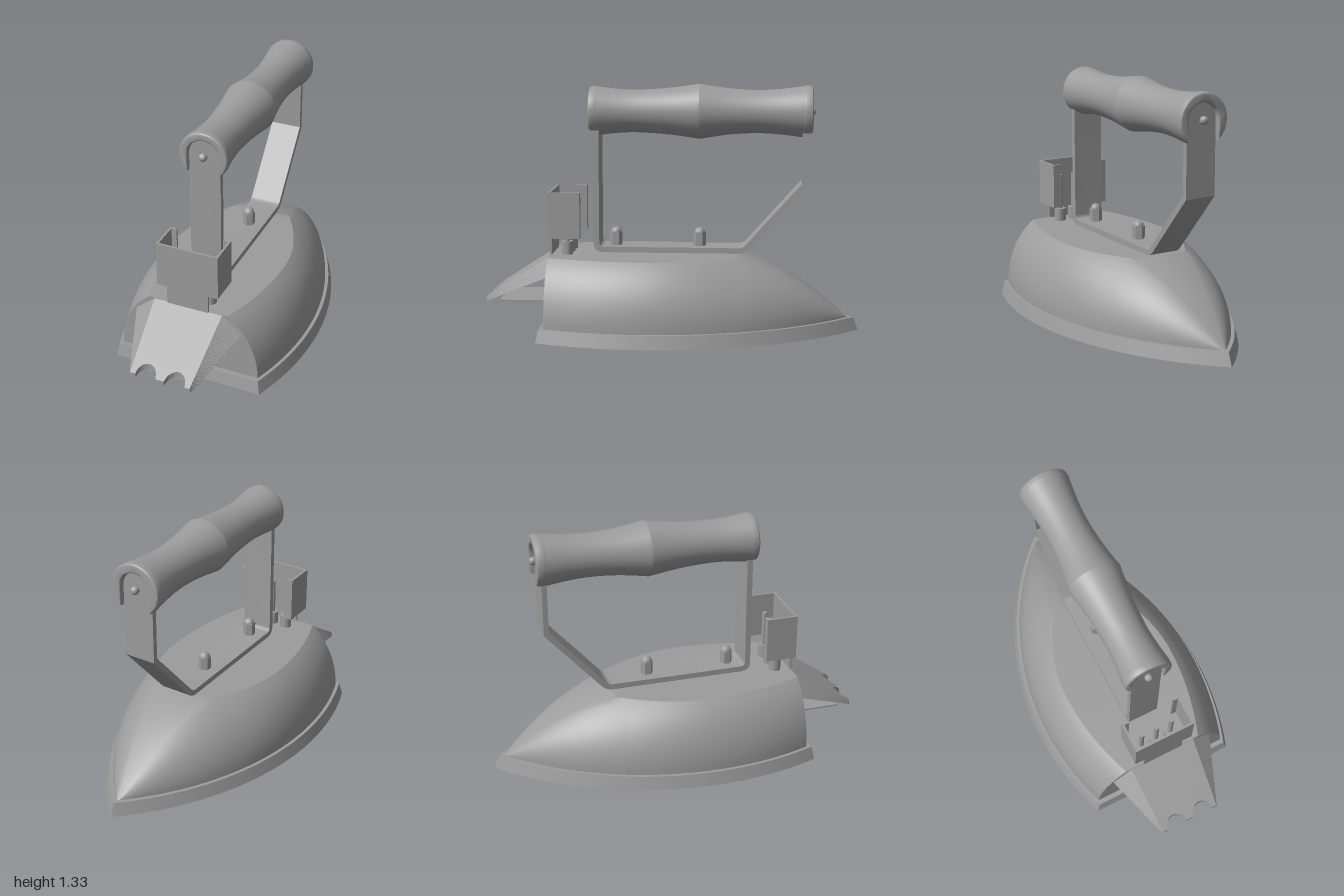
import * as THREE from 'three';
import { toCreasedNormals } from 'three/addons/utils/BufferGeometryUtils.js';

const metal = new THREE.MeshStandardMaterial({ color: 0x9c9c9c });
metal.name = 'grey metal';
const lerp = THREE.MathUtils.lerp;

// Skin between loops of [x, y, z]; loops run counter-clockwise seen from the far end.
function loft(loops) {
  const pos = [], index = [], n = loops[0].length, last = (loops.length - 1) * n;
  loops.forEach(l => l.forEach(p => pos.push(...p)));
  for (let i = 0; i < loops.length - 1; i++) {
    for (let j = 0; j < n; j++) {
      const a = i * n + j, b = i * n + (j + 1) % n;
      index.push(a, b, a + n, b, b + n, a + n);
    }
  }
  for (let j = 1; j < n - 1; j++) {
    index.push(0, j + 1, j, last, last + j, last + j + 1);
  }
  const g = new THREE.BufferGeometry();
  g.setAttribute('position', new THREE.Float32BufferAttribute(pos, 3));
  g.setIndex(index);
  return g;
}

// Half width of a pointed-arch outline, widest at z = 0.15
function archWidth(z, tip, w) {
  const d = 0.15 - tip, r = (d * d + w * w) / (2 * w);
  return Math.max(0, w - r + Math.sqrt(r * r - (z - 0.15) ** 2));
}

// Sole plate outline at one height
function soleLoop(y, tip, back, w) {
  const right = [], left = [], n = 40;
  for (let i = 0; i <= n; i++) {
    const z = lerp(back, tip, i / n), x = archWidth(z, tip, w);
    right.push([x, y, z]);
    if (i < n) left.unshift([-x, y, z]);
  }
  return right.concat(left);
}

// Domed body cross-section at one z
function bodyLoop(z) {
  const t = Math.min(1, (z + 0.94) / 0.6);
  const h = 0.345 * t * (1.6 - 0.6 * t);
  const wb = archWidth(z, -0.945, 0.475);
  const k = z < 0.13 ? 0.155 * ((z - 0.13) / 0.47) ** 2 : 0.1 * ((z - 0.13) / 0.525) ** 2;
  const wt = t < 1 ? Math.min(0.165 * t, wb * 0.5) : 0.32 - k;
  const end = lerp(Math.PI / 2, Math.PI / 3, t);
  const right = [], left = [];
  for (let i = 0; i <= 12; i++) {
    const a = end * i / 12;
    const x = lerp(wb, wt, (1 - Math.cos(a)) / (1 - Math.cos(end)));
    const y = 0.07 + h * Math.sin(a) / Math.sin(end);
    right.push([x, y, z]);
    left.unshift([-x, y, z]);
  }
  return right.concat(left);
}

// Sloping spout, sliced across x, with two round notches in its lip
function spoutLoop(s) {
  const a = Math.abs(s), sign = Math.sign(s), e = Math.max(0, (a - 0.85) / 0.15), c = Math.min(1, a / 0.85);
  const xb = sign * (0.19 * c + 0.11 * e), xf = sign * (0.165 * c + 0.005 * e);
  const cut = Math.sqrt(Math.max(0, 0.055 ** 2 - (Math.abs(xf) - 0.08) ** 2));
  const v = 1 - cut / 0.345;
  const topB = lerp(0.415, 0.325, e), topF = lerp(0.19, 0.165, e);
  const x = lerp(xb, xf, v), z = lerp(0.65, 1, v);
  return [[x, lerp(topB, topF, v), z], [x, lerp(0.325, 0.165, v), z], [xb, 0.325, 0.65], [xb, topB, 0.65]];
}

const range = (a, b, n, f) => Array.from({ length: n + 1 }, (_, i) => f(lerp(a, b, i / n)));

export function createModel() {
  const model = new THREE.Group();
  model.name = 'antiqueIron';
  function add(name, geometry, x = 0, y = 0, z = 0, crease = 0.5) {
    const m = new THREE.Mesh(toCreasedNormals(geometry, crease), metal);
    m.name = name;
    m.position.set(x, y, z);
    model.add(m);
    return m;
  }

  // Sole, body and spout
  add('solePlate', loft([soleLoop(0, -1, 0.695, 0.512), soleLoop(0.07, -0.972, 0.68, 0.493)]));
  add('body', loft(range(-0.94, 0.655, 60, bodyLoop)));
  add('spout', loft(range(-1, 1, 120, spoutLoop)));
  add('spoutFloor', new THREE.BoxGeometry(0.33, 0.008, 0.28), 0, 0.169, 0.79);

  // Bent strap holding the handle
  const strapShape = new THREE.Shape();
  strapShape.moveTo(-0.426, 1.18);
  strapShape.lineTo(-0.426, 0.475);
  strapShape.quadraticCurveTo(-0.426, 0.425, -0.376, 0.425);
  strapShape.lineTo(0.35, 0.425);
  strapShape.quadraticCurveTo(0.385, 0.425, 0.41, 0.45);
  strapShape.lineTo(0.712, 0.79);
  strapShape.lineTo(0.712, 1.18);
  strapShape.lineTo(0.685, 1.18);
  strapShape.lineTo(0.685, 0.805);
  strapShape.lineTo(0.39, 0.473);
  strapShape.quadraticCurveTo(0.375, 0.455, 0.35, 0.455);
  strapShape.lineTo(-0.37, 0.455);
  strapShape.quadraticCurveTo(-0.396, 0.455, -0.396, 0.481);
  strapShape.lineTo(-0.396, 1.18);
  strapShape.closePath();
  const strap = new THREE.ExtrudeGeometry(strapShape, { depth: 0.17, bevelEnabled: false, curveSegments: 8 });
  add('strap', strap.rotateY(Math.PI / 2), -0.085);

  // Turned grip
  const rear = new THREE.SplineCurve([[0.137, -0.7], [0.119, -0.55], [0.115, -0.42], [0.125, -0.28], [0.147, -0.14]]
    .map(p => new THREE.Vector2(...p))).getPoints(16);
  const front = new THREE.SplineCurve([[0.147, -0.14], [0.124, 0.03], [0.114, 0.2], [0.119, 0.31], [0.131, 0.41]]
    .map(p => new THREE.Vector2(...p))).getPoints(16);
  const profile = [new THREE.Vector2(0, -0.7), ...rear, ...front.slice(1), new THREE.Vector2(0, 0.41)];
  add('grip', new THREE.LatheGeometry(profile, 48).rotateX(Math.PI / 2), 0, 1.18, 0, 0.3);

  // Grip end rims around the strap ends, rounded strap ends and screws
  for (const [side, z, r, strapZ] of [['front', 0.408, 0.131, 0.411], ['rear', -0.728, 0.138, -0.698]]) {
    const a = Math.acos(0.087 / r);
    const rim = new THREE.Shape();
    rim.absarc(0, 0, r, -a, Math.PI + a, false);
    rim.lineTo(-0.087, 0);
    rim.absarc(0, 0, 0.087, Math.PI, 0, true);
    rim.closePath();
    add(side + 'GripRim', new THREE.ExtrudeGeometry(rim, {
      depth: 0.03, bevelThickness: 0.012, bevelSize: 0.012, bevelOffset: -0.012, bevelSegments: 3, curveSegments: 32,
    }), 0, 1.18, z);
    add(side + 'StrapEnd', new THREE.CylinderGeometry(0.085, 0.085, 0.029, 32).rotateX(Math.PI / 2), 0, 1.18, strapZ);
    add(side + 'Screw', new THREE.SphereGeometry(0.022, 16, 12), 0, 1.18, side === 'front' ? 0.447 : -0.734);
  }

  // Domed hexagonal nuts on the strap
  for (const z of [0.313, -0.14]) {
    add('nut', new THREE.CylinderGeometry(0.034, 0.034, 0.08, 6), 0, 0.485, z);
    add('nutDome', new THREE.SphereGeometry(0.029, 16, 8, 0, Math.PI * 2, 0, Math.PI / 2), 0, 0.524, z);
  }

  // Connector guard: a folded channel on a tongue
  const half = [[0.17, -0.66], [0.17, -0.49], [0.13, -0.49], [0.13, -0.502], [0.158, -0.502], [0.158, -0.648]];
  const mirrored = half.map(([x, y]) => [-x, y]).reverse();
  const channel = new THREE.Shape([...half, ...mirrored].map(p => new THREE.Vector2(...p)));
  add('connectorGuard', new THREE.ExtrudeGeometry(channel, { depth: 0.247, bevelEnabled: false })
    .rotateX(-Math.PI / 2), 0, 0.51);
  add('guardTongue', new THREE.BoxGeometry(0.23, 0.12, 0.012), 0, 0.455, 0.654);

  // Three contact pins with insulating collars
  for (const x of [-0.088, 0, 0.088]) {
    add('pinCollar', new THREE.CylinderGeometry(0.032, 0.032, 0.08, 24), x, 0.445, 0.57);
    add('pin', new THREE.CylinderGeometry(0.014, 0.014, 0.2, 16), x, 0.58, 0.57);
  }
  return model;
}
